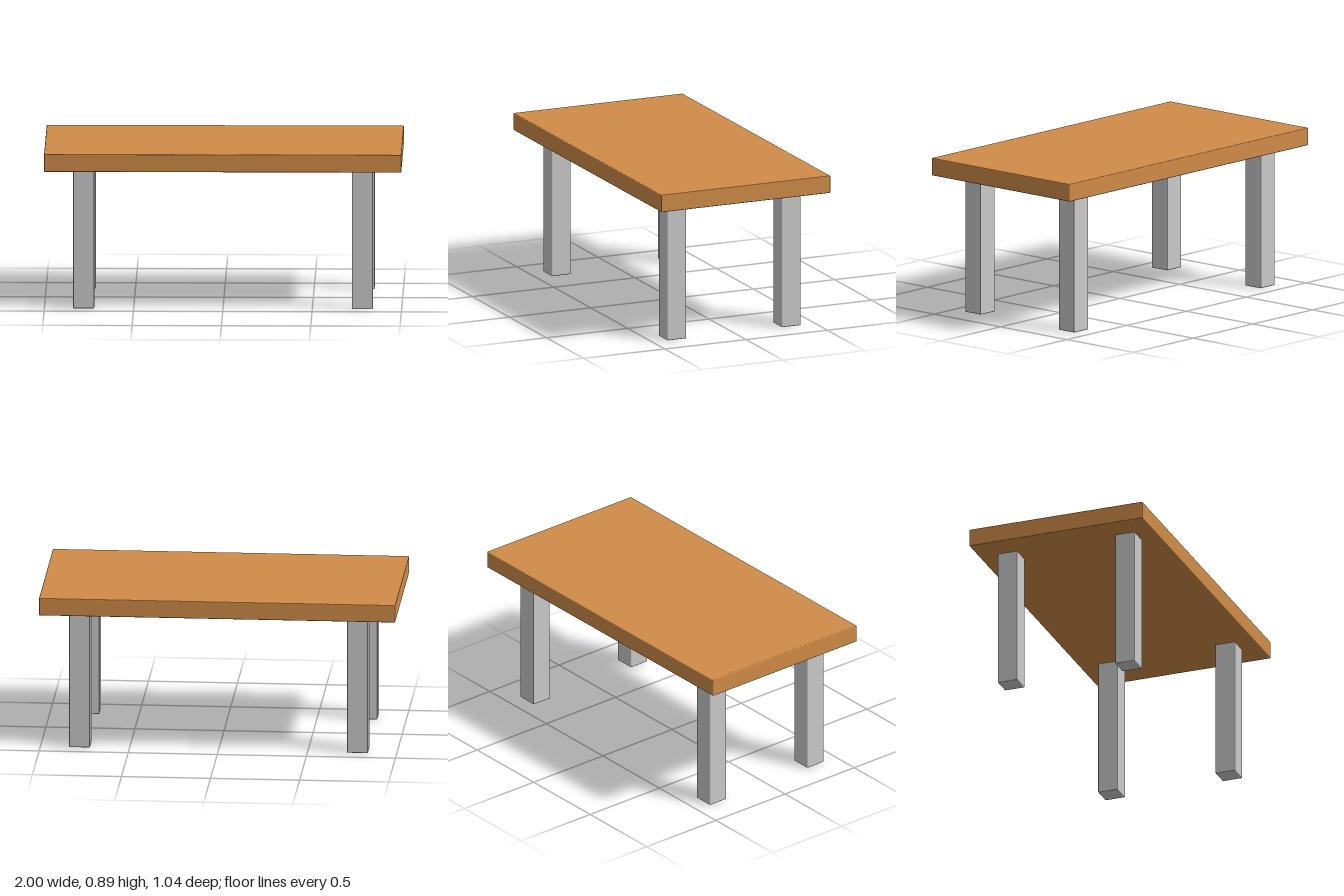
import * as THREE from 'three';
import { RoundedBoxGeometry } from 'three/addons/geometries/RoundedBoxGeometry.js';

const BEVEL = 0.005;

export function createModel() {
  const table = new THREE.Group();
  table.name = 'table';

  const wood = new THREE.MeshStandardMaterial({ color: 0xd08c48 });
  const grey = new THREE.MeshStandardMaterial({ color: 0xcccccc });

  // Box with softly eased edges, placed by its bottom centre
  const addBox = (name, [w, h, d], [x, y, z], material) => {
    const mesh = new THREE.Mesh(new RoundedBoxGeometry(w, h, d, 2, BEVEL), material);
    mesh.name = name;
    mesh.position.set(x, y + h / 2, z);
    table.add(mesh);
  };

  // Tabletop slab
  addBox('tabletop', [2, 0.1, 1.04], [0, 0.792, 0], wood);

  // Four square legs, inset from the corners
  for (const [side, x] of [['Left', 0.78], ['Right', -0.78]]) {
    for (const [end, z] of [['front', 0.352], ['back', -0.352]]) {
      addBox(`${end}${side}Leg`, [0.118, 0.794, 0.118], [x, 0, z], grey);
    }
  }

  return table;
}
